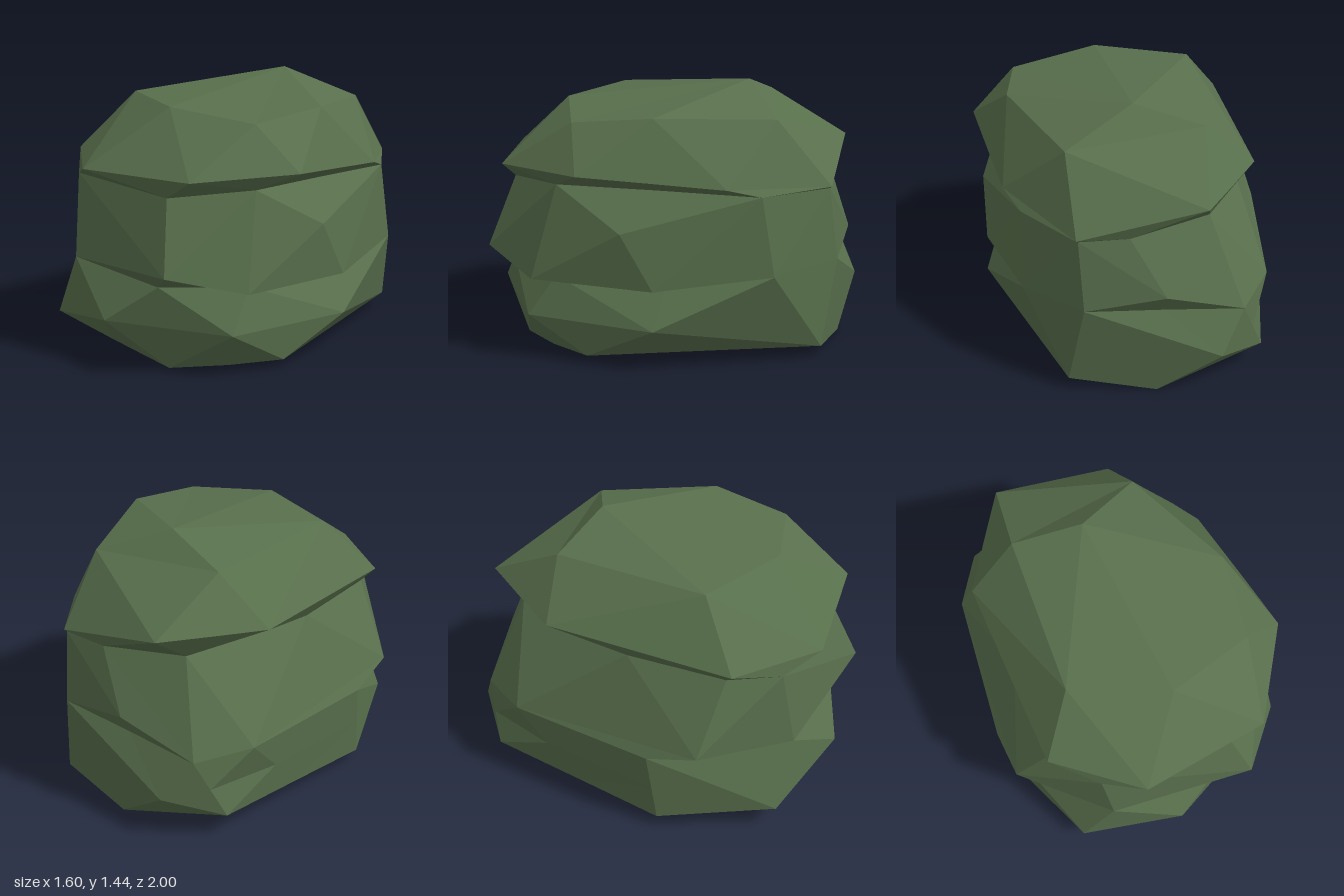
import * as THREE from 'three';

// Each ring runs from the front-left corner, round by the +x side and the back, as [x, y, z].
// Neighbouring rings share a corner where a groove closes up.
const base = [[-0.14, 0.08, 0.83], [0.27, 0.01, 0.8], [0.5, 0.03, 0.6], [0.68, 0.045, 0.37], [0.4, 0.07, -0.85],
  [0.4, 0.07, -0.85], [-0.06, 0, -0.92], [-0.65, 0.14, -0.78], [-0.715, 0.105, -0.26], [-0.78, 0.07, 0.25]];
const lowerBulge = [[-0.55, 0.15, 0.85], [0, 0.255, 1], [0.63, 0.24, 0.7], [0.78, 0.235, 0], [0.505, 0.29, -0.73],
  [0.36, 0.305, -0.885], [-0.39, 0.245, -1], [-0.585, 0.3, -0.835], [-0.71, 0.3, -0.44], [-0.79, 0.28, 0.225]];
const lowerGroove = [[-0.37, 0.5, 0.87], [0.27, 0.46, 0.87], [0.6, 0.46, 0.55], [0.66, 0.43, -0.05], [0.61, 0.51, -0.61],
  [0.32, 0.54, -0.92], [-0.1, 0.5, -0.9], [-0.52, 0.46, -0.89], [-0.7, 0.49, -0.62], [-0.8, 0.49, 0.2]];
const middleLedge = [[-0.37, 0.5, 0.87], [0.42, 0.555, 0.97], [0.7, 0.465, 0.66], [0.77, 0.45, 0], [0.61, 0.51, -0.61],
  [0.32, 0.54, -0.92], [-0.1, 0.61, -0.96], [-0.52, 0.46, -0.89], [-0.7, 0.49, -0.62], [-0.79, 0.57, 0.48]];
const upperGroove = [[-0.41, 0.945, 0.8], [0.31, 0.925, 0.84], [0.63, 0.965, 0.53], [0.615, 0.95, 0], [0.6, 0.93, -0.54],
  [0.34, 0.93, -0.87], [0.08, 0.93, -0.875], [-0.35, 0.95, -0.73], [-0.58, 0.96, 0], [-0.57, 0.96, 0.55]];
const upperLedge = [[-0.21, 1.015, 0.94], [0.49, 1.03, 0.86], [0.8, 1.05, 0.39], [0.74, 1.015, 0], [0.68, 0.98, -0.37],
  [0.35, 0.94, -0.88], [-0.31, 1.09, -0.92], [-0.48, 1.08, -0.675], [-0.645, 1.07, -0.43], [-0.63, 1.03, 0.6]];
const shoulder = [[0.08, 1.33, 0.59], [0.56, 1.28, 0.46], [0.62, 1.325, 0.02], [0.62, 1.325, 0.02], [0.37, 1.29, -0.59],
  [0.37, 1.29, -0.59], [-0.37, 1.33, -0.49], [-0.37, 1.33, -0.49], [-0.42, 1.34, 0.37], [-0.42, 1.34, 0.37]];

// One corner stands out from the middle layer on the +x side
const waist = [...upperGroove];
waist[3] = [0.77, 0.75, 0.17];

const reach = (p, q) => Math.hypot(p[0] + q[0], p[2] + q[2]);

// Skins a stack of rings, closing the ends to a point where one is given
function skin(rings, bottom, top) {
  const pos = [];
  const v = (p) => new THREE.Vector3(...p);
  const tri = (a, b, c) => {
    const area = v(b).sub(v(a)).cross(v(c).sub(v(a))).length();
    if (area > 1e-6) pos.push(...a, ...b, ...c);
  };
  const n = rings[0].length;
  for (let i = 0; i < n; i++) {
    const k = (i + 1) % n;
    for (let j = 0; j + 1 < rings.length; j++) {
      const a = rings[j][i], b = rings[j][k], c = rings[j + 1][k], d = rings[j + 1][i];
      // split along the diagonal that bulges outwards
      if (reach(a, c) > reach(b, d)) { tri(a, b, c); tri(a, c, d); }
      else { tri(a, b, d); tri(b, c, d); }
    }
    if (bottom) tri(bottom, rings[0][k], rings[0][i]);
    if (top) tri(rings[rings.length - 1][i], rings[rings.length - 1][k], top);
  }
  const geo = new THREE.BufferGeometry();
  geo.setAttribute('position', new THREE.Float32BufferAttribute(pos, 3));
  geo.computeVertexNormals();
  return geo;
}

export function createModel() {
  const moss = new THREE.MeshStandardMaterial({ color: 0x586f4c });
  moss.name = 'mossGreen';
  moss.flatShading = true;

  const group = new THREE.Group();
  group.name = 'layeredRock';
  const add = (name, ...args) => {
    const mesh = new THREE.Mesh(skin(...args), moss);
    mesh.name = name;
    group.add(mesh);
  };

  // Three stacked layers meeting at the grooves
  add('lowerLayer', [base, lowerBulge, lowerGroove], [-0.05, 0, 0], null);
  add('middleLayer', [lowerGroove, middleLedge, waist, upperGroove], null, null);
  add('upperLayer', [upperGroove, upperLedge, shoulder], null, [0, 1.44, -0.4]);
  return group;
}
